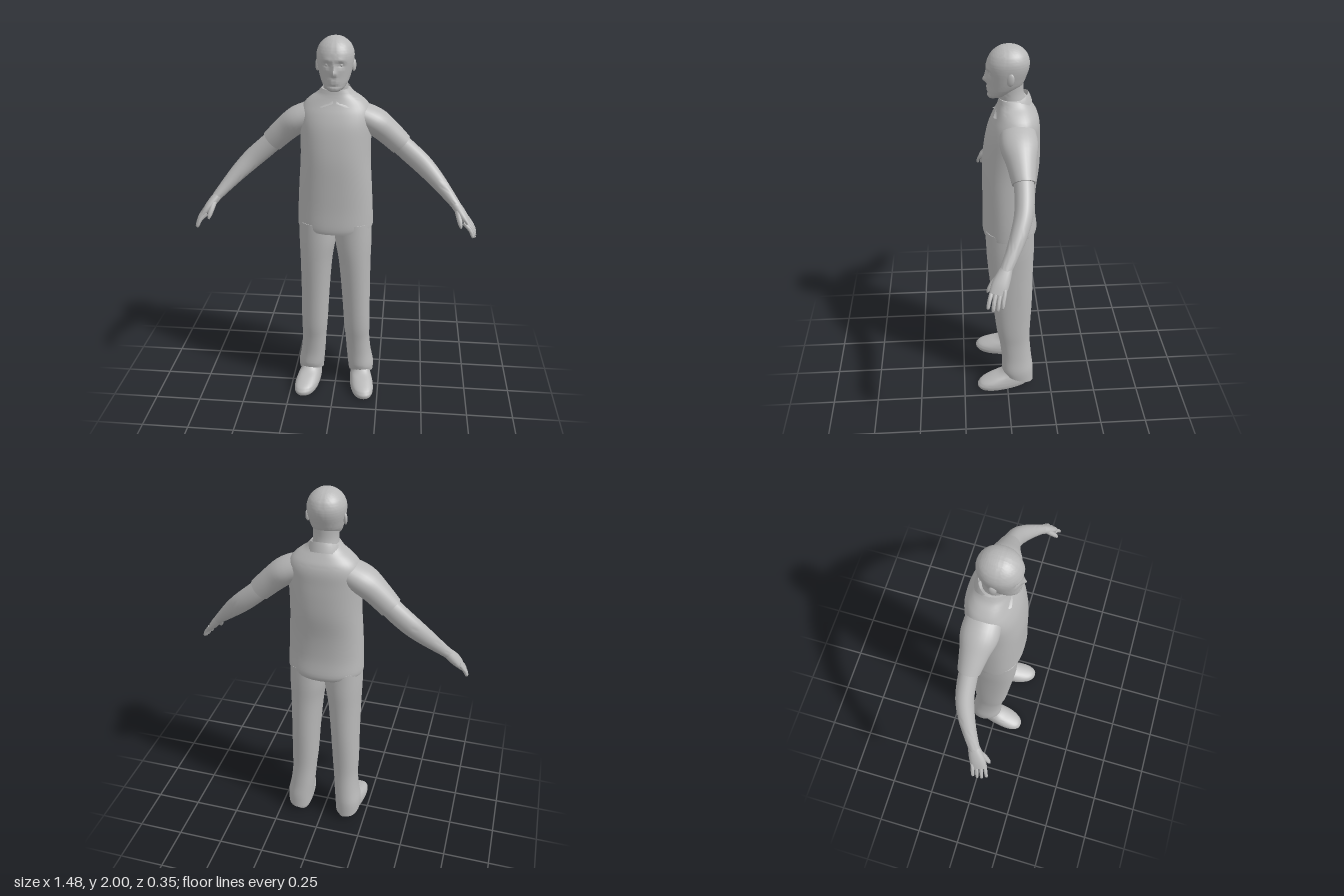
import * as THREE from 'three';
import { toCreasedNormals } from 'three/addons/utils/BufferGeometryUtils.js';

const mat = new THREE.MeshStandardMaterial({ color: 0xb8b8b8, side: THREE.DoubleSide });
mat.name = 'plain grey';

// Smooth interpolation through a list of sections (arrays of equal length)
function refine(rows, steps) {
  const out = [];
  const at = i => rows[Math.min(rows.length - 1, Math.max(0, i))];
  for (let i = 0; i < rows.length - 1; i++) {
    for (let s = 0; s < steps; s++) {
      const t = s / steps, [p, q, r, w] = [at(i - 1), at(i), at(i + 1), at(i + 2)];
      out.push(q.map((_, k) => 0.5 * (2 * q[k] + (r[k] - p[k]) * t
        + (2 * p[k] - 5 * q[k] + 4 * r[k] - w[k]) * t * t
        + (3 * q[k] - p[k] - 3 * r[k] + w[k]) * t * t * t)));
    }
  }
  out.push(rows[rows.length - 1]);
  return out;
}

// Mesh from rings of points
function skin(rings, closed = true, crease = 0.9) {
  const n = rings[0].length, pos = rings.flat().flatMap(p => [p.x, p.y, p.z]), index = [];
  for (let i = 0; i < rings.length - 1; i++) {
    for (let j = 0; j < (closed ? n : n - 1); j++) {
      const k = (j + 1) % n, a = i * n + j, b = i * n + k;
      index.push(a, b, a + n, b, b + n, a + n);
    }
  }
  const g = new THREE.BufferGeometry();
  g.setAttribute('position', new THREE.Float32BufferAttribute(pos, 3));
  g.setIndex(index);
  return toCreasedNormals(g, crease);
}

// Loft through sections [x, y, z, radiusA, radiusB]; level keeps the rings horizontal
function loft(rows, { level = false, n = 24, steps = 4, power = 1, sculpt = null } = {}) {
  const secs = refine(rows, steps);
  const centre = secs.map(s => new THREE.Vector3(s[0], s[1], s[2]));
  const bend = v => Math.sign(v) * Math.abs(v) ** power;
  const rings = secs.map((s, i) => {
    let A = new THREE.Vector3(1, 0, 0), B = new THREE.Vector3(0, 0, 1);
    if (!level) {
      const t = centre[Math.min(i + 1, secs.length - 1)].clone()
        .sub(centre[Math.max(i - 1, 0)]).normalize();
      B.addScaledVector(t, -t.z).normalize();
      A = t.clone().cross(B);
    }
    return Array.from({ length: n }, (_, j) => {
      const th = j / n * Math.PI * 2;
      return centre[i].clone().addScaledVector(A, s[3] * bend(Math.sin(th)))
        .addScaledVector(B, s[4] * bend(Math.cos(th)));
    });
  });
  if (sculpt) rings.flat().forEach(sculpt);
  // Close both ends
  const cap = ring => {
    const c = new THREE.Vector3();
    ring.forEach(p => c.addScaledVector(p, 1 / n));
    return ring.map(() => c.clone());
  };
  return skin([cap(rings[0]), ...rings, cap(rings[rings.length - 1])]);
}

export function createModel() {
  const model = new THREE.Group();
  model.name = 'standingMan';
  const add = (name, geometry, parent = model) => {
    const m = new THREE.Mesh(geometry, mat);
    m.name = name;
    parent.add(m);
    return m;
  };
  const flip = (rows, s) => rows.map(r => [r[0] * s, ...r.slice(1)]);

  // Head: [y, half width, front z, back z], then features pushed in or out of the face
  const bump = (p, x, y, sx, sy) =>
    Math.exp(-(((Math.abs(p.x) - x) / sx) ** 2) - ((p.y - y) / sy) ** 2);
  const headRows = [
    [1.742, 0.022, 0.082, 0.04], [1.755, 0.045, 0.089, 0.0], [1.78, 0.064, 0.088, -0.045],
    [1.81, 0.076, 0.088, -0.082], [1.85, 0.086, 0.09, -0.1], [1.89, 0.093, 0.093, -0.113],
    [1.925, 0.092, 0.088, -0.114], [1.96, 0.077, 0.069, -0.1], [1.985, 0.05, 0.04, -0.072],
    [1.996, 0.026, 0.015, -0.045], [2.0, 0.003, -0.012, -0.018],
  ].map(([y, a, f, b]) => [0, y, (f + b) / 2, a, (f - b) / 2]);
  add('head', loft(headRows, { level: true, n: 64, steps: 6, power: 0.95, sculpt: p => {
    if (p.z < 0.03) return;
    p.z += 0.019 * bump(p, 0, 1.832, 0.013, 0.016) + 0.009 * bump(p, 0, 1.856, 0.011, 0.022)
      - 0.011 * bump(p, 0.034, 1.872, 0.018, 0.013) + 0.004 * bump(p, 0.03, 1.897, 0.025, 0.01)
      + 0.006 * bump(p, 0, 1.796, 0.022, 0.007) + 0.004 * bump(p, 0, 1.781, 0.018, 0.006)
      - 0.004 * bump(p, 0, 1.768, 0.03, 0.006);
  } }));
  add('neck', loft([
    [0, 1.66, -0.045, 0.075, 0.065], [0, 1.72, -0.035, 0.066, 0.064],
    [0, 1.77, -0.024, 0.062, 0.063], [0, 1.82, -0.02, 0.066, 0.066],
  ], { level: true }));

  // Shirt body, with a hem that dips at front and back
  add('shirt', loft([
    [0, 1.015, -0.016, 0.2, 0.135], [0, 1.04, -0.02, 0.2, 0.144], [0, 1.12, -0.016, 0.197, 0.137],
    [0, 1.25, -0.017, 0.19, 0.138], [0, 1.38, -0.025, 0.182, 0.145],
    [0, 1.48, -0.031, 0.182, 0.141], [0, 1.56, -0.037, 0.185, 0.132],
    [0, 1.62, -0.046, 0.182, 0.12], [0, 1.66, -0.05, 0.163, 0.105],
    [0, 1.69, -0.047, 0.132, 0.09], [0, 1.715, -0.042, 0.096, 0.078],
    [0, 1.74, -0.036, 0.074, 0.068],
  ], { level: true, n: 40, power: 0.86, sculpt: p => {
    if (p.y < 1.1) p.y -= 0.022 * (1 - (p.x / 0.2) ** 2) * (1.1 - p.y) / 0.085;
  } }));

  // Turned-down collar: standing at the nape, opening into two points at the throat
  const collar = [];
  for (const [out, drop] of [[0.002, 0.012], [0.005, -0.004], [0.014, 0.012], [0.024, 0.042]]) {
    collar.push(Array.from({ length: 41 }, (_, j) => {
      const u = j / 20 - 1, th = u * (Math.PI - 0.1), front = (1 - Math.cos(th)) / 2;
      const point = Math.max(0, Math.abs(u) - 0.7) / 0.3, tip = drop > 0.03 ? point : 0;
      return new THREE.Vector3(
        -Math.sin(th) * (0.07 + out) - Math.sign(u) * tip * 0.05,
        1.762 - front * 0.075 - drop + tip * 0.014,
        -0.034 - Math.cos(th) * (0.071 + out) + tip * 0.002);
    }));
  }
  add('collar', skin(collar, false));

  for (const s of [1, -1]) {
    const side = s > 0 ? 'left' : 'right';
    const arm = new THREE.Group();
    arm.name = side + 'Arm';
    model.add(arm);

    // Face details
    add(side + 'Eye', new THREE.SphereGeometry(0.013, 16, 10)).position.set(s * 0.034, 1.872, 0.066);
    const ear = add(side + 'Ear', new THREE.SphereGeometry(1, 16, 12));
    ear.scale.set(0.01, 0.031, 0.018);
    ear.position.set(s * 0.091, 1.857, -0.018);
    ear.rotation.set(-0.15, s * -0.3, 0);

    // Sleeve and bare arm
    add(side + 'Sleeve', loft(flip([
      [0.1, 1.615, -0.05, 0.06, 0.085], [0.195, 1.568, -0.052, 0.07, 0.092],
      [0.265, 1.512, -0.058, 0.066, 0.072], [0.337, 1.443, -0.064, 0.06, 0.056],
    ], s), { n: 28 }), arm);
    add(side + 'Forearm', loft(flip([
      [0.3, 1.475, -0.063, 0.052, 0.048], [0.37, 1.412, -0.064, 0.054, 0.047],
      [0.447, 1.345, -0.056, 0.052, 0.045], [0.515, 1.28, -0.03, 0.044, 0.041],
      [0.575, 1.217, 0.004, 0.034, 0.034], [0.632, 1.155, 0.042, 0.024, 0.028],
    ], s)), arm);

    // Hand with four fingers and a thumb
    add(side + 'Palm', loft(flip([
      [0.618, 1.17, 0.032, 0.024, 0.027], [0.645, 1.138, 0.05, 0.024, 0.036],
      [0.672, 1.105, 0.068, 0.021, 0.041], [0.697, 1.074, 0.082, 0.013, 0.038],
    ], s), { n: 16, power: 0.9 }), arm);
    for (let i = 0; i < 4; i++) {
      const k = i - 1.5, len = [0.8, 0.95, 1, 0.9][i];
      const x = 0.69 - k * 0.006, z = 0.08 + k * 0.019, dy = -0.072 * len;
      add(side + 'Finger', loft(flip([
        [x - 0.01, 1.09 - k * 0.004, z - 0.006, 0.011, 0.011],
        [x + 0.025 * len, 1.085 + dy * 0.5, z + 0.006 + k * 0.002, 0.0095, 0.0095],
        [x + 0.042 * len, 1.085 + dy, z + 0.012 + k * 0.003, 0.008, 0.008],
        [x + 0.046 * len, 1.078 + dy, z + 0.013 + k * 0.003, 0.003, 0.003],
      ], s), { n: 10, steps: 3 }), arm);
    }
    add(side + 'Thumb', loft(flip([
      [0.635, 1.145, 0.062, 0.015, 0.015], [0.645, 1.108, 0.098, 0.014, 0.013],
      [0.654, 1.078, 0.118, 0.011, 0.01], [0.658, 1.062, 0.126, 0.004, 0.004],
    ], s), { n: 10, steps: 3 }), arm);

    // Trouser leg, its hem raised over the instep
    add(side + 'TrouserLeg', loft(flip([
      [0.145, 0.062, -0.066, 0.07, 0.086], [0.143, 0.12, -0.06, 0.073, 0.09],
      [0.132, 0.2, -0.055, 0.069, 0.085], [0.124, 0.3, -0.045, 0.068, 0.086],
      [0.12, 0.4, -0.036, 0.073, 0.095], [0.113, 0.6, -0.03, 0.078, 0.11],
      [0.105, 0.8, -0.021, 0.087, 0.121], [0.097, 0.92, -0.019, 0.098, 0.127],
      [0.094, 1.04, -0.018, 0.1, 0.127],
    ], s), { level: true, n: 28, power: 0.92, sculpt: p => {
      if (p.y < 0.12) p.y += (p.z + 0.066) * 0.35 * (0.12 - p.y) / 0.058;
    } }));

    // Shoe, toes turned slightly outward and heel narrowed
    add(side + 'Shoe', loft([
      [0, 0, 0.018, 0.058, 0.145], [0, 0.02, 0.02, 0.063, 0.154], [0, 0.045, 0.013, 0.063, 0.143],
      [0, 0.07, -0.01, 0.058, 0.11], [0, 0.092, -0.035, 0.051, 0.075],
      [0, 0.125, -0.05, 0.045, 0.05],
    ].map(r => [s * 0.149, ...r.slice(1)]), { level: true, n: 32, power: 0.88, sculpt: p => {
      p.x = s * 0.149 + (p.x - s * 0.149) * (1 + p.z * 0.9) + s * p.z * 0.15;
    } }));
  }
  return model;
}
